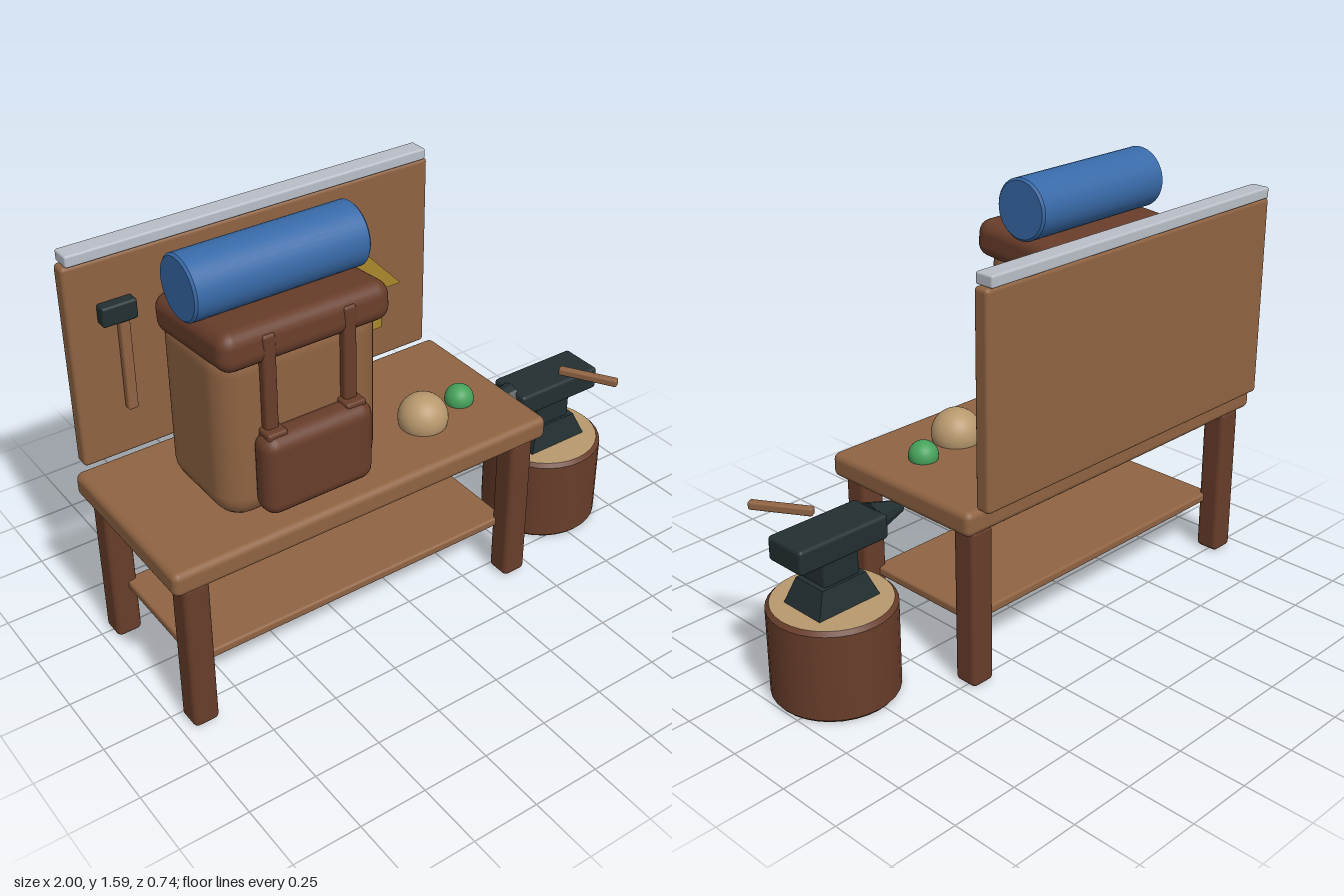
import * as THREE from 'three';
import { RoundedBoxGeometry } from 'three/addons/geometries/RoundedBoxGeometry.js';

export function createModel() {
  const model = new THREE.Group();
  model.name = 'workbenchCamp';

  const mat = (name, color, extra = {}) => {
    const m = new THREE.MeshStandardMaterial({ color, ...extra });
    m.name = name;
    return m;
  };
  const wood = mat('wood', 0x8f6342);
  const darkBrown = mat('darkBrown', 0x683d2a);
  const tan = mat('tan', 0xb8996e);
  const iron = mat('iron', 0x222f31);
  const silver = mat('silver', 0xb9bec7);
  const blue = mat('blue', 0x386aa8);
  const red = mat('red', 0xb23b34);
  const yellow = mat('yellow', 0xab882b);
  const green = mat('green', 0x46a25b);

  const add = (name, geometry, material, x, y, z, parent = model) => {
    const mesh = new THREE.Mesh(geometry, material);
    mesh.name = name;
    mesh.position.set(x, y, z);
    parent.add(mesh);
    return mesh;
  };
  // Rounded box given by its extents on each axis
  const block = (name, material, [x0, x1], [y0, y1], [z0, z1], r = 0.01, parent = model) =>
    add(name, new RoundedBoxGeometry(x1 - x0, y1 - y0, z1 - z0, 3, r), material,
      (x0 + x1) / 2, (y0 + y1) / 2, (z0 + z1) / 2, parent);
  const group = (name) => {
    const g = new THREE.Group();
    g.name = name;
    model.add(g);
    return g;
  };

  // Workbench
  const bench = group('workbench');
  block('tabletop', wood, [-1, 0.51], [0.595, 0.685], [-0.31, 0.37], 0.025, bench);
  block('shelf', wood, [-0.9, 0.41], [0.2, 0.235], [-0.22, 0.28], 0.01, bench);
  for (const x of [-0.912, 0.422]) {
    for (const z of [-0.242, 0.302]) {
      block('leg', darkBrown, [x - 0.048, x + 0.048], [0, 0.6], [z - 0.048, z + 0.048], 0.02, bench);
    }
  }

  // Tool board behind the bench
  const board = group('toolBoard');
  block('boardPanel', wood, [-0.96, 0.47], [0.688, 1.445], [-0.363, -0.302], 0.015, board);
  block('boardRail', silver, [-0.945, 0.455], [1.445, 1.487], [-0.37, -0.296], 0.008, board);
  block('hammerHead', iron, [-0.857, -0.73], [1.217, 1.29], [-0.305, -0.257], 0.01, board);
  block('hammerHandle', wood, [-0.792, -0.755], [0.872, 1.23], [-0.303, -0.27], 0.008, board);
  block('sawBlade', iron, [-0.53, -0.115], [1.02, 1.18], [-0.304, -0.288], 0.003, board);
  block('sawHandle', red, [-0.135, -0.025], [1.048, 1.17], [-0.304, -0.276], 0.01, board);

  const arrow = new THREE.Shape([
    [0.09, 0.84], [0.245, 0.84], [0.245, 1.0], [0.33, 1.0],
    [0.168, 1.172], [0.005, 1.0], [0.09, 1.0],
  ].map(([x, y]) => new THREE.Vector2(x, y)));
  add('arrowPlate', new THREE.ExtrudeGeometry(arrow, { depth: 0.035, bevelEnabled: false }),
    yellow, 0, 0, -0.302, board);

  // Backpack
  const pack = group('backpack');
  block('packBody', wood, [-0.742, -0.135], [0.682, 1.34], [-0.14, 0.275], 0.1, pack)
    .geometry.computeBoundingBox();
  const lid = block('packLid', darkBrown, [-0.745, -0.12], [1.252, 1.39], [-0.143, 0.302], 0.05, pack);
  lid.rotation.x = -0.09;
  block('packPocket', darkBrown, [-0.642, -0.228], [0.732, 1.03], [0.25, 0.362], 0.05, pack);
  for (const x of [-0.583, -0.288]) {
    const span = [x - 0.024, x + 0.024];
    block('frontStrap', darkBrown, span, [1.01, 1.375], [0.265, 0.305], 0.012, pack);
    block('topStrap', darkBrown, span, [1.34, 1.376], [-0.165, 0.305], 0.012, pack);
    block('backStrap', darkBrown, span, [0.89, 1.376], [-0.166, -0.128], 0.012, pack);
    block('strapTab', darkBrown, [x - 0.037, x + 0.037], [1.005, 1.04], [0.27, 0.335], 0.01, pack);
  }

  // Bedroll with slightly bevelled ends
  const rollRadius = 0.111;
  const roll = group('bedroll');
  roll.position.set(-0.437, 1.482, 0.07);
  const turn = Math.PI / 2;
  add('rollSide', new THREE.CylinderGeometry(rollRadius, rollRadius, 0.62, 40, 1, true), blue, 0, 0, 0, roll).rotation.z = turn;
  for (const s of [-1, 1]) {
    add('rollEdge', new THREE.CylinderGeometry(rollRadius - 0.008, rollRadius, 0.008, 40), blue,
      s * 0.314, 0, 0, roll).rotation.z = -s * turn;
  }

  // Half-sunk balls on the tabletop
  add('tanBall', new THREE.SphereGeometry(0.09, 32, 20), tan, 0.13, 0.712, 0.14);
  add('greenBall', new THREE.SphereGeometry(0.053, 28, 18), green, 0.32, 0.699, 0.105);

  // Stump
  const stump = group('stump');
  stump.position.set(0.777, 0, 0.067);
  const R = 0.223;
  const ring = (name, top, bottom, y0, y1) =>
    add(name, new THREE.CylinderGeometry(top, bottom, y1 - y0, 32, 1, true), darkBrown, 0, (y0 + y1) / 2, 0, stump);
  ring('stumpFoot', R, R - 0.008, 0, 0.01);
  ring('stumpBark', R, R, 0.01, 0.328);
  ring('stumpRim', R - 0.014, R, 0.328, 0.342);
  add('stumpTop', new THREE.CircleGeometry(R - 0.014, 32), tan, 0, 0.342, 0, stump).rotation.x = -turn;
  add('stumpBottom', new THREE.CircleGeometry(R - 0.008, 32), tan, 0, 0, 0, stump).rotation.x = turn;

  // Anvil: tapered foot, waist, body and horn
  const anvil = group('anvil');
  const foot = new THREE.BoxGeometry(0.258, 0.09, 0.186);
  const p = foot.attributes.position;
  for (let i = 0; i < p.count; i++) {
    if (p.getY(i) > 0) p.setXYZ(i, p.getX(i) * 0.71, p.getY(i), p.getZ(i) * 0.74);
  }
  foot.computeVertexNormals();
  add('anvilFoot', foot, iron, 0.776, 0.387, 0.067, anvil);
  block('anvilWaist', iron, [0.7, 0.85], [0.425, 0.535], [0.008, 0.126], 0.012, anvil);
  block('anvilBody', iron, [0.59, 0.96], [0.525, 0.615], [-0.017, 0.153], 0.014, anvil);
  const horn = new THREE.CylinderGeometry(0.022, 0.06, 0.135, 12).toNonIndexed();
  horn.computeVertexNormals();
  add('anvilHorn', horn, iron, 0.536, 0.57, 0.067, anvil).rotation.z = turn;

  // Loose handle above the anvil
  const handle = add('looseHandle', new RoundedBoxGeometry(0.03, 0.03, 0.225, 2, 0.008), wood, 0.849, 0.65, 0.217);
  handle.rotation.y = 0.545;

  return model;
}
